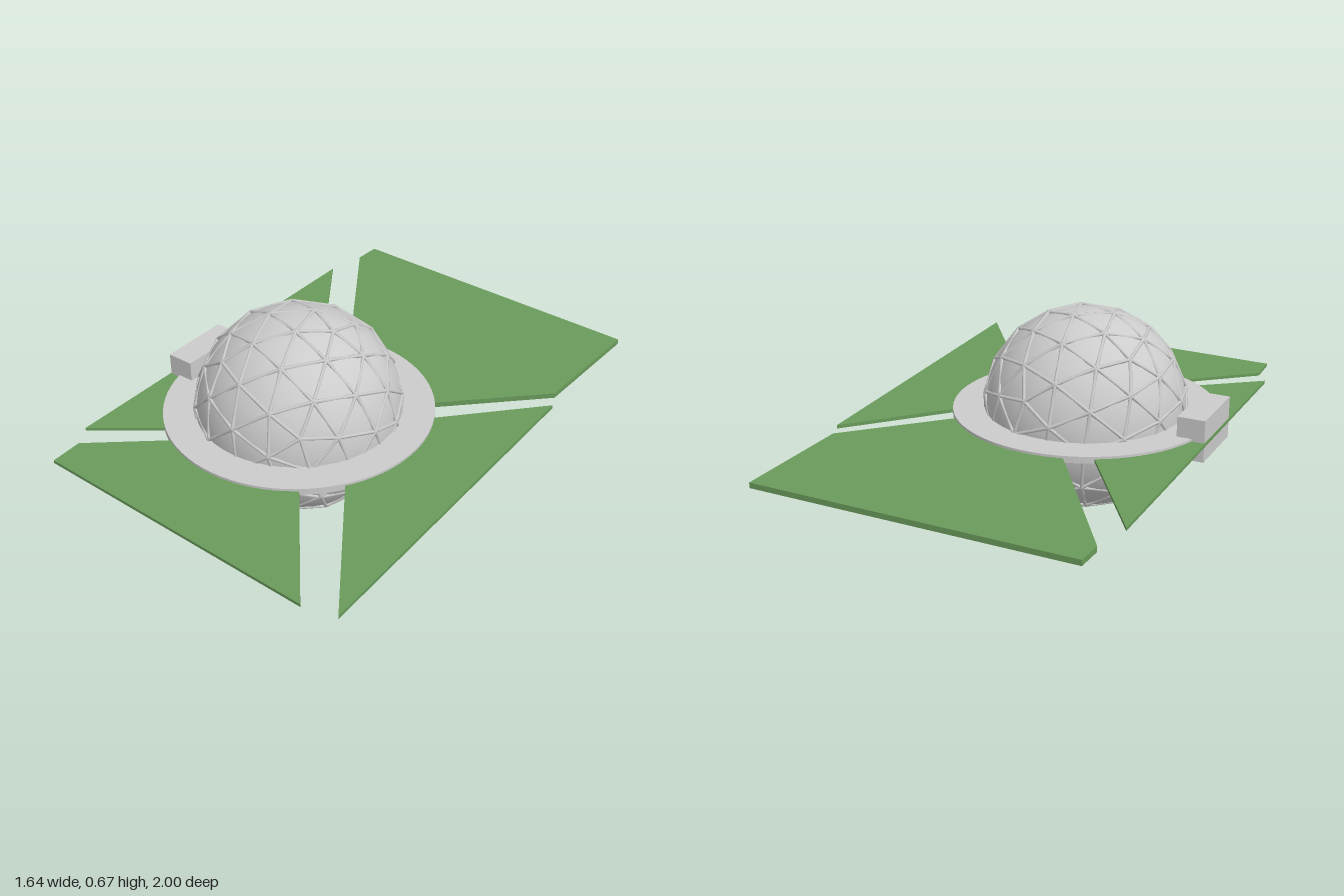
import * as THREE from 'three';
import { mergeGeometries } from 'three/addons/utils/BufferGeometryUtils.js';

const CENTER = new THREE.Vector3(-0.16, 0.345, 0.09);

const grey = new THREE.MeshStandardMaterial({ color: 0xcccccc });
const green = new THREE.MeshStandardMaterial({ color: 0x6a9b5b });

function addMesh(parent, name, geometry, material) {
  const mesh = new THREE.Mesh(geometry, material);
  mesh.name = name;
  parent.add(mesh);
  return mesh;
}

// Flat slab from an (x, z) outline, its upper face at y = 0
function slab(shape, thickness, curveSegments = 12) {
  const g = new THREE.ExtrudeGeometry(shape, { depth: thickness, bevelEnabled: false, curveSegments });
  return g.rotateX(Math.PI / 2);
}

// One thin rod between two points
function rod(a, b, radius) {
  const dir = b.clone().sub(a);
  const g = new THREE.CylinderGeometry(radius, radius, dir.length(), 6);
  g.applyQuaternion(new THREE.Quaternion().setFromUnitVectors(new THREE.Vector3(0, 1, 0), dir.normalize()));
  const mid = a.clone().add(b).multiplyScalar(0.5);
  return g.translate(mid.x, mid.y, mid.z);
}

// Rods along every edge of a geodesic sphere
function latticeGeometry(radius, rodRadius) {
  const pos = new THREE.IcosahedronGeometry(radius, 2).getAttribute('position');
  const key = (v) => v.toArray().map((n) => Math.round(n * 1000) + 0).join(',');
  const seen = new Set();
  const rods = [];
  for (let i = 0; i < pos.count; i += 3) {
    const tri = [0, 1, 2].map((k) => new THREE.Vector3().fromBufferAttribute(pos, i + k));
    for (let k = 0; k < 3; k++) {
      const a = tri[k], b = tri[(k + 1) % 3];
      const id = [key(a), key(b)].sort().join('|');
      if (seen.has(id)) continue;
      seen.add(id);
      rods.push(rod(a, b, rodRadius));
    }
  }
  return mergeGeometries(rods);
}

export function createModel() {
  const model = new THREE.Group();
  model.name = 'domeStation';

  // Geodesic sphere: smooth shell with a lattice of struts
  const sphere = new THREE.Group();
  sphere.name = 'geodesicSphere';
  sphere.position.copy(CENTER);
  sphere.rotation.set(0.25, 0.4, 0.15);
  addMesh(sphere, 'shell', new THREE.SphereGeometry(0.335, 48, 32), grey);
  addMesh(sphere, 'lattice', latticeGeometry(0.339, 0.006), grey);
  model.add(sphere);

  // Walkway ring around the equator
  const disc = new THREE.Shape().absarc(0, 0, 0.44, 0, Math.PI * 2, false);
  disc.holes.push(new THREE.Path().absarc(0, 0, 0.32, 0, Math.PI * 2, true));
  addMesh(model, 'ring', slab(disc, 0.022, 40), grey).position.set(CENTER.x, 0.348, CENTER.z);

  // Four ground plates; the last point of each runs inside the sphere
  const plates = [
    ['backPlate', 0.018, [[0.64, -0.17], [0.82, -0.55], [-0.15, -1], [-0.19, -0.92], [-0.02, 0.08]]],
    ['rightPlate', 0.01, [[-0.27, -0.81], [-0.79, 0.36], [-0.09, 0.2]]],
    ['frontPlate', 0.01, [[-0.78, 0.44], [-0.82, 0.54], [0.08, 0.98], [-0.12, 0.25]]],
    ['leftPlate', 0.012, [[0.19, 1], [0.64, -0.1], [0.02, 0.165]]],
  ];
  for (const [name, thickness, outline] of plates) {
    const shape = new THREE.Shape(outline.map(([x, z]) => new THREE.Vector2(x, z)));
    addMesh(model, name, slab(shape, thickness), green).position.y = 0.34;
  }

  // Entrance block on the edge of the right plate
  const block = addMesh(model, 'entranceBlock', new THREE.BoxGeometry(0.092, 0.14, 0.24), grey);
  block.position.set(-0.537, 0.345, -0.088);
  block.rotation.y = -0.42;

  return model;
}
